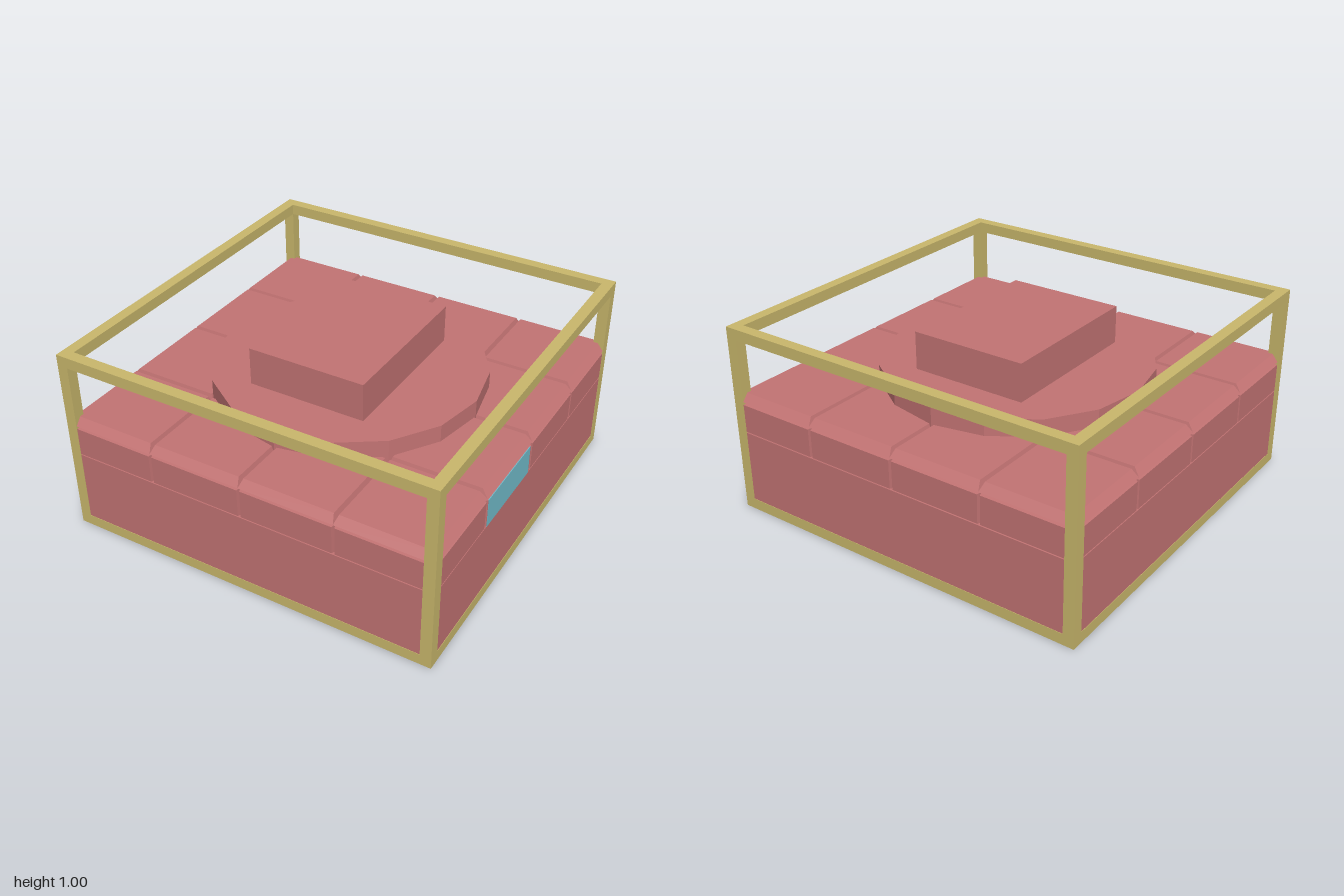
import * as THREE from 'three';

const red = new THREE.MeshStandardMaterial({ name: 'dusty red', color: 0xc47474 });
const gold = new THREE.MeshStandardMaterial({ name: 'pale gold', color: 0xcbb96d });
const blue = new THREE.MeshStandardMaterial({ name: 'pale blue', color: 0x74bfce });

const HALF = 0.998; // body sits a hair inside the frame

function box(parent, name, material, size, pos) {
  const mesh = new THREE.Mesh(new THREE.BoxGeometry(...size), material);
  mesh.name = name;
  mesh.position.set(...pos);
  parent.add(mesh);
  return mesh;
}

// Block whose top is drawn in on each side: insets are [-x, +x, -z, +z]
function bevelledBlock(w, h, d, [nx, px, nz, pz]) {
  const g = new THREE.BoxGeometry(w, h, d);
  const p = g.attributes.position;
  for (let i = 0; i < p.count; i++) {
    if (p.getY(i) < 0) continue;
    p.setX(i, p.getX(i) < 0 ? -w / 2 + nx : w / 2 - px);
    p.setZ(i, p.getZ(i) < 0 ? -d / 2 + nz : d / 2 - pz);
  }
  const flat = g.toNonIndexed();
  flat.computeVertexNormals();
  return flat;
}

export function createModel() {
  const model = new THREE.Group();
  model.name = 'framedBlock';

  // Solid base and the recessed core behind the panels
  box(model, 'base', red, [2 * HALF, 0.438, 2 * HALF], [0, 0.221, 0]);
  box(model, 'core', red, [1.94, 0.18, 1.94], [0, 0.525, 0]);

  // Four bevelled panels along each side
  const panelGeo = bevelledBlock(HALF / 2, HALF - 0.97, 0.155, [0.008, 0.008, 0.003, 0.003]);
  panelGeo.rotateX(Math.PI / 2);
  for (let side = 0; side < 4; side++) {
    const row = new THREE.Group();
    row.name = 'sidePanels';
    row.rotation.y = side * Math.PI / 2;
    for (let i = 0; i < 4; i++) {
      const panel = new THREE.Mesh(panelGeo, red);
      panel.name = 'sidePanel';
      panel.position.set((i - 1.5) * HALF / 2, 0.5205, (HALF + 0.97) / 2);
      row.add(panel);
    }
    model.add(row);
  }

  // Blue plate on one panel of the right-hand face
  box(model, 'bluePlate', blue, [0.004, 0.155, 0.466], [HALF, 0.5185, 0.253]);

  // Top tiles: narrow bevels at the seams, wide chamfer on the outer edge
  const step = HALF / 2;
  const seam = 0.013, edge = 0.032;
  for (let i = 0; i < 4; i++) {
    for (let j = 0; j < 4; j++) {
      const insets = [i === 0, i === 3, j === 0, j === 3].map(outer => (outer ? edge : seam));
      const tile = new THREE.Mesh(bevelledBlock(step, 0.04, step, insets), red);
      tile.name = 'topTile';
      tile.position.set((i - 1.5) * step, 0.63, (j - 1.5) * step);
      model.add(tile);
    }
  }

  // Sixteen-sided disc with the raised block on it
  const disc = new THREE.Mesh(
    new THREE.CylinderGeometry(0.7, 0.7, 0.13, 16).toNonIndexed(), red);
  disc.geometry.computeVertexNormals();
  disc.name = 'disc';
  disc.position.y = 0.675;
  model.add(disc);
  box(model, 'raisedBlock', red, [0.63, 0.2, 0.84], [0, 0.84, 0]);

  // Square-section frame around the whole volume
  const T = 0.058, E = 1 - T / 2;
  const frame = new THREE.Group();
  frame.name = 'frame';
  for (const a of [-1, 1]) {
    for (const b of [-1, 1]) {
      box(frame, 'post', gold, [T, 1, T], [a * E, 0.5, b * E]);
      const y = 0.5 + a * (0.5 - T / 2);
      box(frame, 'railX', gold, [2 - 2 * T, T, T], [0, y, b * E]);
      box(frame, 'railZ', gold, [T, T, 2 - 2 * T], [b * E, y, 0]);
    }
  }
  model.add(frame);
  return model;
}
